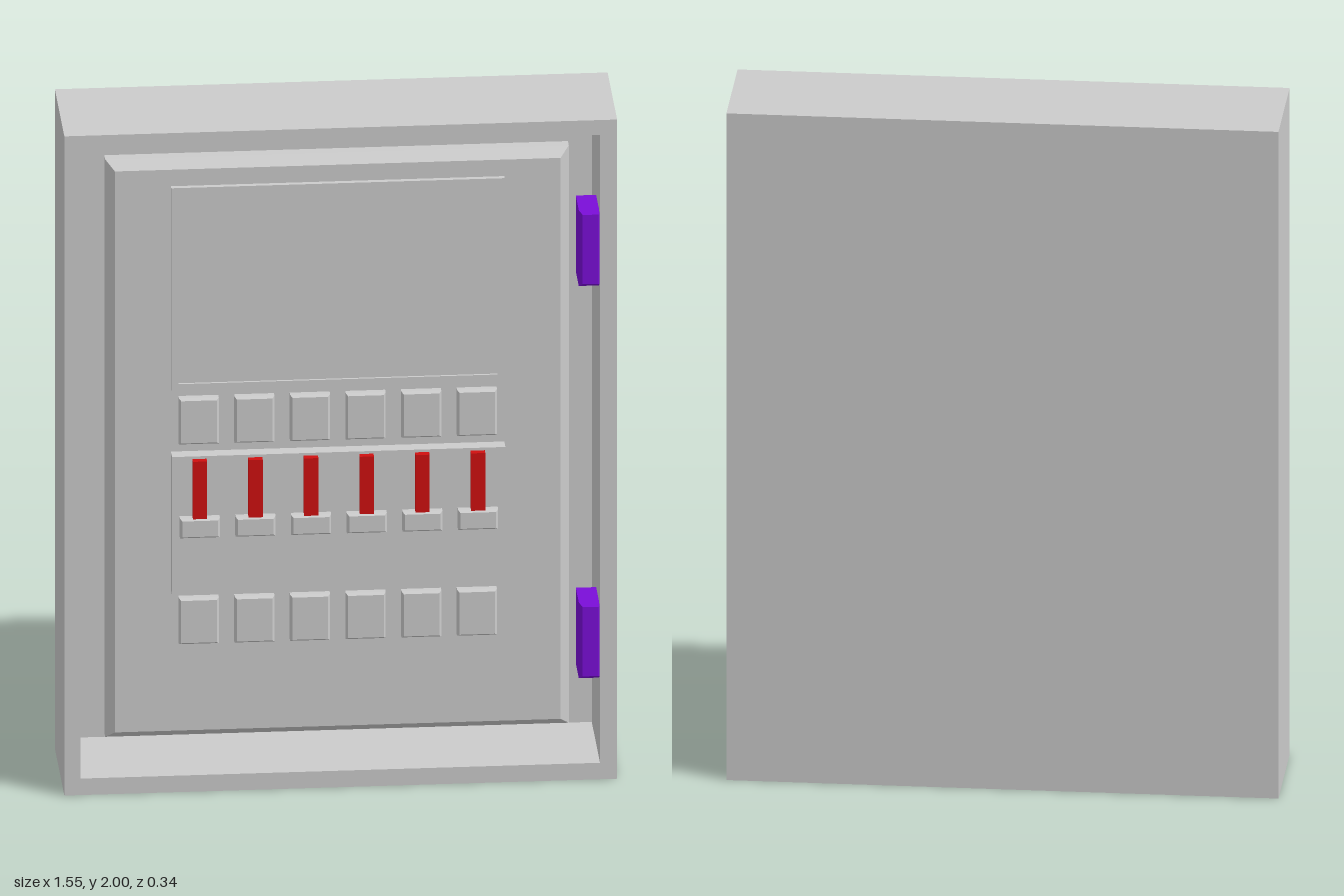
import * as THREE from 'three';

const grey = new THREE.MeshStandardMaterial({ color: 0xcccccc, flatShading: true });
const red = new THREE.MeshStandardMaterial({ color: 0xd01010, flatShading: true });
const purple = new THREE.MeshStandardMaterial({ color: 0x7a0ed8, flatShading: true });

function rect(target, x0, x1, y0, y1) {
  target.moveTo(x0, y0);
  target.lineTo(x1, y0);
  target.lineTo(x1, y1);
  target.lineTo(x0, y1);
  target.closePath();
  return target;
}

function addMesh(parent, name, geometry, material) {
  const mesh = new THREE.Mesh(geometry, material);
  mesh.name = name;
  parent.add(mesh);
  return mesh;
}

// Plain box given by its limits
function box(parent, name, [x0, x1], [y0, y1], [z0, z1], material = grey) {
  const geometry = new THREE.BoxGeometry(x1 - x0, y1 - y0, z1 - z0);
  geometry.translate((x0 + x1) / 2, (y0 + y1) / 2, (z0 + z1) / 2);
  return addMesh(parent, name, geometry, material);
}

// Box with chamfered front and back edges
function chamferBox(parent, name, [x0, x1], [y0, y1], [z0, z1], size, depth, material = grey) {
  const geometry = new THREE.ExtrudeGeometry(rect(new THREE.Shape(), x0, x1, y0, y1), {
    depth: z1 - z0 - 2 * depth,
    bevelSegments: 1,
    bevelSize: size,
    bevelOffset: -size,
    bevelThickness: depth,
  });
  geometry.translate(0, 0, z0 + depth);
  return addMesh(parent, name, geometry, material);
}

// Rectangular frame with an opening
function frame(parent, name, outer, inner, z0, z1) {
  const shape = rect(new THREE.Shape(), ...outer);
  shape.holes.push(rect(new THREE.Path(), ...inner));
  const geometry = new THREE.ExtrudeGeometry(shape, { depth: z1 - z0, bevelEnabled: false });
  geometry.translate(0, 0, z0);
  return addMesh(parent, name, geometry, grey);
}

export function createModel() {
  const model = new THREE.Group();
  model.name = 'switchCabinet';

  // Open-fronted cabinet
  frame(model, 'cabinetWalls', [-0.775, 0.775, 0, 2], [-0.73, 0.727, 0.05, 1.955], -0.125, 0.17);
  box(model, 'cabinetBack', [-0.775, 0.775], [0, 2], [-0.17, -0.125]);

  // Door and its two hinges
  chamferBox(model, 'door', [-0.652, 0.648], [0.128, 1.88], [0, 0.09], 0.025, 0.03);
  for (const y of [0.41, 1.6]) {
    chamferBox(model, 'hinge', [0.67, 0.735], [y - 0.115, y + 0.115], [0.02, 0.15], 0.01, 0.012, purple);
  }

  // Display with a narrow raised rim
  frame(model, 'displayRim', [-0.47, 0.465, 1.19, 1.805], [-0.45, 0.445, 1.21, 1.79], 0.085, 0.105);
  box(model, 'display', [-0.455, 0.45], [1.205, 1.795], [0.085, 0.098]);

  // Raised plate that carries the levers
  box(model, 'leverPlate', [-0.47, 0.465], [0.58, 1.0], [0.085, 0.13]);

  // Six columns of buttons and levers
  for (let i = 0; i < 6; i++) {
    const x = -0.393 + i * 0.156;
    const width = [x - 0.056, x + 0.056];
    for (const y of [0.492, 1.098]) {
      chamferBox(model, 'button', width, [y - 0.07, y + 0.07], [0.075, 0.115], 0.006, 0.008);
    }
    chamferBox(model, 'leverBase', width, [0.76, 0.82], [0.115, 0.155], 0.006, 0.008);
    box(model, 'lever', [x - 0.02, x + 0.02], [0.8, 0.992], [0.125, 0.15], red);
  }

  return model;
}
